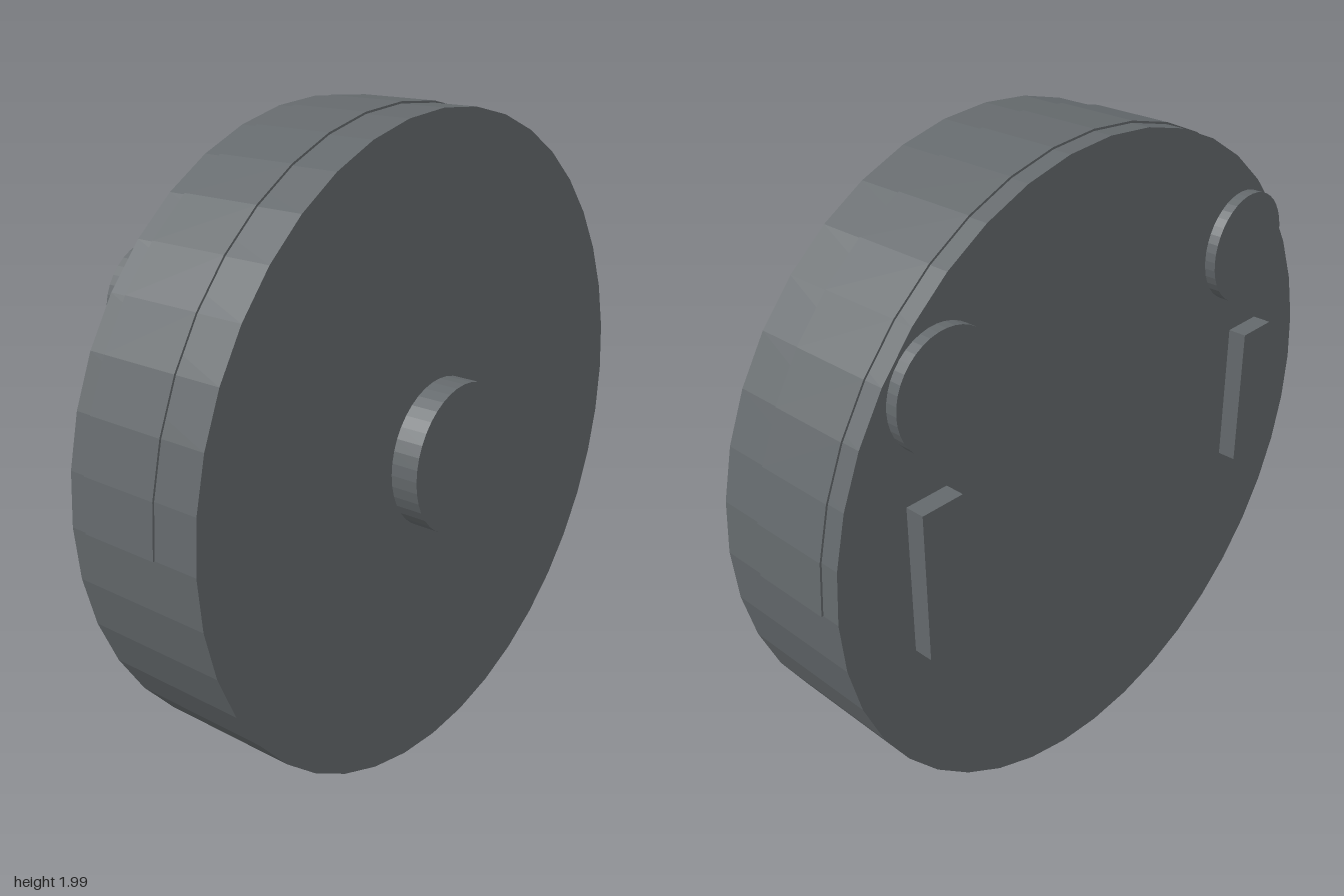
import * as THREE from 'three';

const CY = 0.994; // height of the disc axis
const SEG = 40;

export function createModel() {
  const model = new THREE.Group();
  const darkGrey = new THREE.MeshStandardMaterial({ color: 0x64696c });

  // faceted mesh helper
  const add = (name, geometry, x, y, z) => {
    const flat = geometry.index ? geometry.toNonIndexed() : geometry;
    flat.computeVertexNormals();
    const mesh = new THREE.Mesh(flat, darkGrey);
    mesh.name = name;
    mesh.position.set(x, y, z);
    model.add(mesh);
  };

  // disc with its axis along z, spanning z0 to z1
  const disc = (name, r, x, y, z0, z1) =>
    add(name, new THREE.CylinderGeometry(r, r, z1 - z0, SEG).rotateX(Math.PI / 2), x, y, (z0 + z1) / 2);

  // main drum and front hub
  disc('body', 0.994, 0, CY, -0.24, 0.212);
  disc('frontHub', 0.228, 0, CY + 0.002, 0.212, 0.299);

  // thin raised band around the upper half of the rim
  const arc = (r) => Array.from({ length: SEG / 2 + 1 }, (_, i) => {
    const a = (i * 2 * Math.PI) / SEG;
    return new THREE.Vector2(r * Math.cos(a), r * Math.sin(a));
  });
  const bandShape = new THREE.Shape([...arc(1), ...arc(0.975).reverse()]);
  add('rimBand', new THREE.ExtrudeGeometry(bandShape, { depth: 0.25, bevelEnabled: false }), 0, CY, -0.182);

  // round pads and upright bars on the back
  for (const [side, s] of [['left', 1], ['right', -1]]) {
    disc(side + 'BackPad', 0.17, s * 0.626, 1.51, -0.275, -0.24);
    add(side + 'BackBar', new THREE.BoxGeometry(0.137, 0.456, 0.06), s * 0.686, CY + 0.002, -0.269);
  }
  return model;
}
